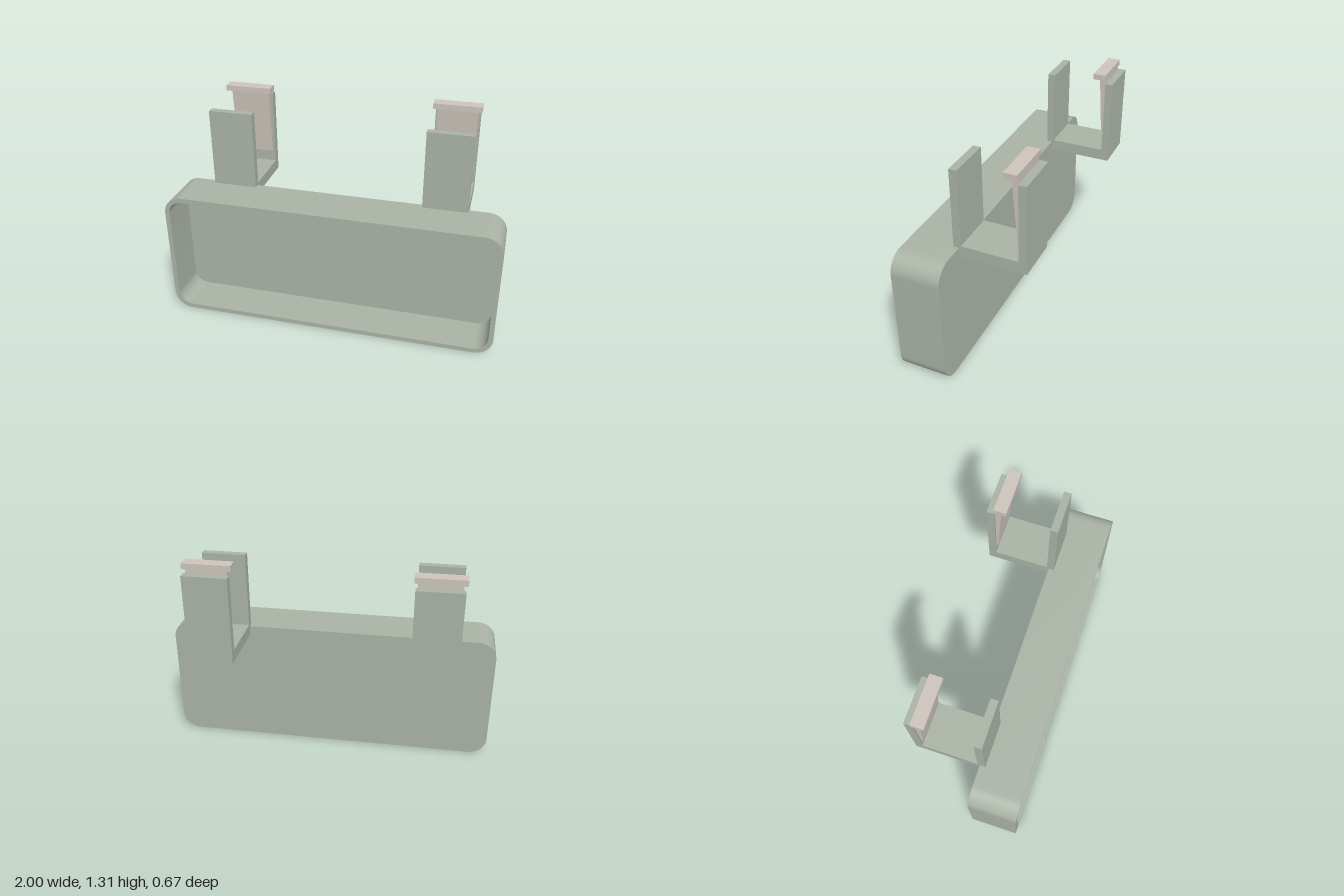
import * as THREE from 'three';
import { toCreasedNormals } from 'three/addons/utils/BufferGeometryUtils.js';

const W = 2, H = 0.787, WALL = 0.028, RADIUS = 0.11;
const BACK_Z = 0.052, FRONT_Z = 0.337, BACK_THICKNESS = 0.035;
const CLIP_X = 0.641;

const green = new THREE.MeshStandardMaterial({ color: 0xaab3a6 });
const beige = new THREE.MeshStandardMaterial({ color: 0xcdc4bc });

// Rounded rectangle of the tray outline, shrunk by an inset
function roundedRect(inset, Type = THREE.Shape) {
  const x = W / 2 - inset, y0 = inset, y1 = H - inset, r = RADIUS - inset;
  const s = new Type();
  s.moveTo(-x + r, y0);
  s.lineTo(x - r, y0);
  s.absarc(x - r, y0 + r, r, -Math.PI / 2, 0);
  s.lineTo(x, y1 - r);
  s.absarc(x - r, y1 - r, r, 0, Math.PI / 2);
  s.lineTo(-x + r, y1);
  s.absarc(-x + r, y1 - r, r, Math.PI / 2, Math.PI);
  s.lineTo(-x, y0 + r);
  s.absarc(-x + r, y0 + r, r, Math.PI, Math.PI * 1.5);
  return s;
}

function extrudeZ(name, shape, z0, z1) {
  const geo = new THREE.ExtrudeGeometry(shape, { depth: z1 - z0, bevelEnabled: false, curveSegments: 16 });
  geo.translate(0, 0, z0);
  const mesh = new THREE.Mesh(toCreasedNormals(geo, 0.5), green);
  mesh.name = name;
  return mesh;
}

// Side profile given as [z, y] points, extruded across x and centred on it
function extrudeX(name, points, width, material) {
  const shape = new THREE.Shape(points.map(([z, y]) => new THREE.Vector2(-z, y)));
  const geo = new THREE.ExtrudeGeometry(shape, { depth: width, bevelEnabled: false });
  geo.translate(0, 0, -width / 2);
  geo.rotateY(Math.PI / 2);
  const mesh = new THREE.Mesh(geo, material);
  mesh.name = name;
  return mesh;
}

function createClip(name) {
  const clip = new THREE.Group();
  clip.name = name;

  // U-shaped hook
  clip.add(extrudeX('hook', [
    [0.085, 0.73], [0.085, 1.255], [0.04, 1.255], [0.04, 0.8],
    [-0.29, 0.8], [-0.29, 1.255], [-0.335, 1.255], [-0.335, 0.73],
  ], 0.264, green));

  // Tapered wedge with a wider cap, pushed against the rear arm
  clip.add(extrudeX('wedge', [
    [-0.289, 0.87], [-0.28, 0.87], [-0.25, 1.28], [-0.289, 1.28],
  ], 0.238, beige));
  const cap = new THREE.Mesh(new THREE.BoxGeometry(0.283, 0.034, 0.075), beige);
  cap.name = 'wedgeCap';
  cap.position.set(0, 1.295, -0.2525);
  clip.add(cap);
  return clip;
}

export function createModel() {
  const model = new THREE.Group();
  model.name = 'hangingTray';

  // Open-fronted tray
  const tray = new THREE.Group();
  tray.name = 'tray';
  const rim = roundedRect(0);
  rim.holes.push(roundedRect(WALL, THREE.Path));
  tray.add(extrudeZ('trayWalls', rim, BACK_Z, FRONT_Z));
  tray.add(extrudeZ('trayBack', roundedRect(WALL), BACK_Z, BACK_Z + BACK_THICKNESS));
  model.add(tray);

  // Mounting clips, one each side
  for (const side of [-1, 1]) {
    const clip = createClip(side > 0 ? 'leftClip' : 'rightClip');
    clip.position.x = side * CLIP_X;
    model.add(clip);
  }
  return model;
}
